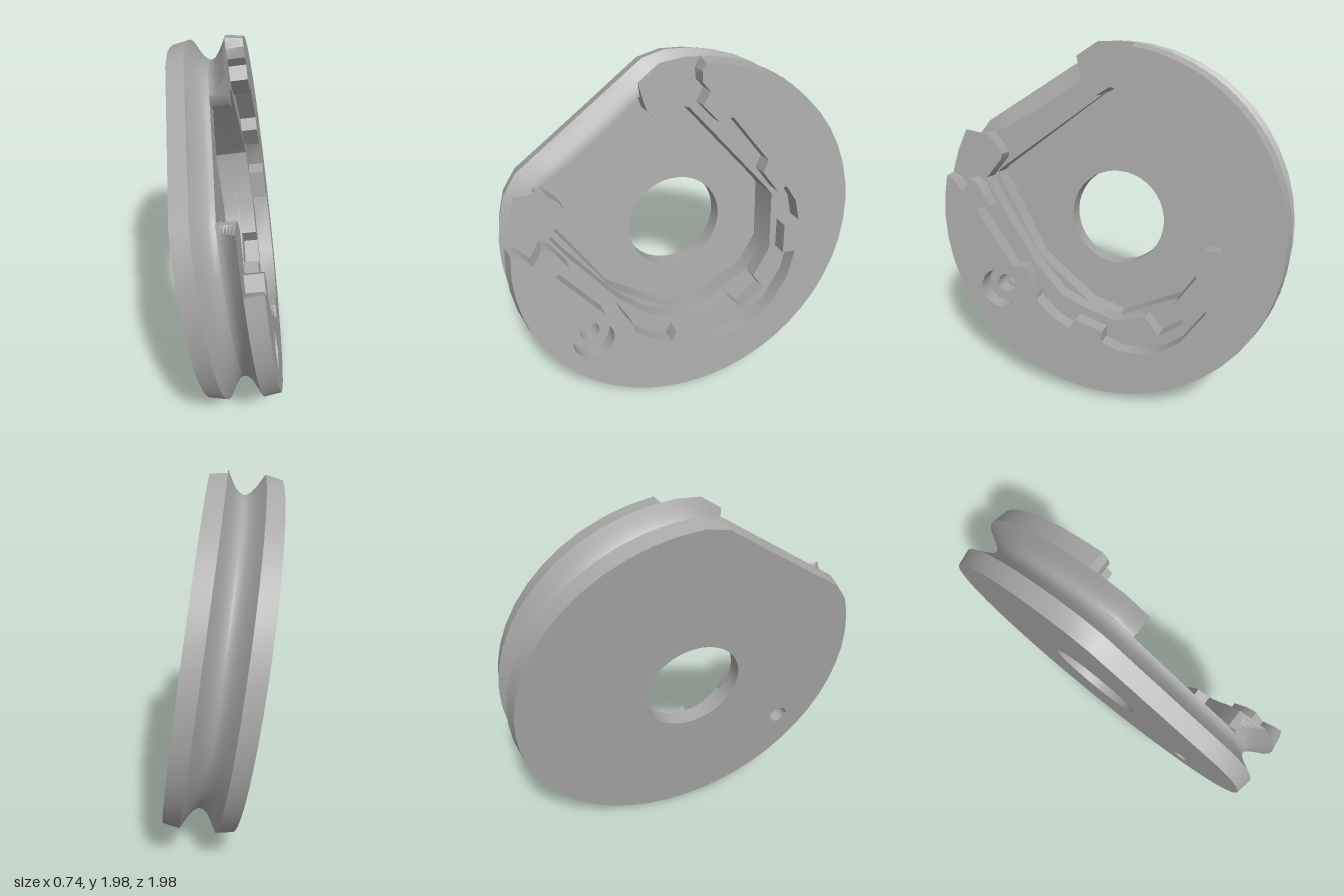
import * as THREE from 'three';
import { toCreasedNormals } from 'three/addons/utils/BufferGeometryUtils.js';

// Local frame: disc in the XY plane, thickness t along Z (0 = back face).
const R = 0.985, FLAT = 0.865, FLAT_ANGLE = 124, DEPTH = 0.37;
const T = { plate: 0.09, ridge: 0.19, ledge: 0.28 };
const rad = THREE.MathUtils.degToRad;

// Circle with one straight side
function rimRadius(deg) {
  const c = Math.cos(rad(deg - FLAT_ANGLE));
  return c > 0 ? Math.min(R, FLAT / c) : R;
}

function rimPoints(from, to) {
  const n = Math.round((to - from) / 7.5), pts = [];
  for (let i = 0; i <= n; i++) {
    const deg = from + (to - from) * i / n, r = rimRadius(deg);
    pts.push(new THREE.Vector2(r * Math.cos(rad(deg)), r * Math.sin(rad(deg))));
  }
  return pts;
}

const toPoints = (list) => list.map(([x, y]) => new THREE.Vector2(x, y));

function circleHole(x, y, r) {
  return new THREE.Path().absarc(x, y, r, 0, Math.PI * 2, true);
}

// Closed disc layer
function fullShape() {
  const pts = rimPoints(-180, 180);
  pts.pop();
  return new THREE.Shape(pts);
}

// Open ring: inner edge runs clockwise, rim returns counter-clockwise
function openShape(inner, startDeg, endDeg) {
  return new THREE.Shape([...toPoints(inner), ...rimPoints(endDeg - 360, startDeg)]);
}

// Extrude a layer and draw its rim inward by inset(t)
function layer(name, shape, t0, t1, steps, inset, material) {
  const geo = new THREE.ExtrudeGeometry(shape, {
    depth: t1 - t0, steps, bevelEnabled: false, curveSegments: 20,
  });
  const pos = geo.attributes.position;
  for (let i = 0; i < pos.count; i++) {
    const x = pos.getX(i), y = pos.getY(i), t = pos.getZ(i) + t0;
    const r = Math.hypot(x, y);
    const rim = rimRadius(THREE.MathUtils.radToDeg(Math.atan2(y, x)));
    const k = r > rim - 0.004 ? (r - inset(t)) / r : 1;
    pos.setXYZ(i, x * k, y * k, t - DEPTH / 2);
  }
  const mesh = new THREE.Mesh(toCreasedNormals(geo, 0.6), material);
  mesh.name = name;
  return mesh;
}

// Pocket edge at the floor
const floorEdge = [
  [-0.02, 0.75], [0.04, 0.735], [0.49, 0.19], [0.525, 0.14], [0.52, -0.22],
  [0.415, -0.385], [0.08, -0.555], [-0.11, -0.51], [-0.435, -0.275],
  [-0.72, 0.2], [-0.7, 0.225], [-0.11, 0.7],
];

// Pocket edge at the ledge, open along the straight side
const ledgeEdge = [
  [-0.195, 0.8], [-0.18, 0.75], [-0.15, 0.715], [-0.1, 0.7], [-0.025, 0.75], [0.04, 0.735],
  [0.49, 0.19], [0.525, 0.14], [0.52, -0.22], [0.415, -0.385], [0.48, -0.49],
  [0.34, -0.595], [0.255, -0.5], [0.08, -0.555], [-0.11, -0.51], [-0.26, -0.45],
  [-0.435, -0.275], [-0.67, 0.055], [-0.745, 0.18], [-0.655, 0.3],
  [-0.65, 0.33], [-0.675, 0.37], [-0.735, 0.43], [-0.77, 0.435],
];

// Pocket edge at the front, with its notches
const frontEdge = [
  [0.08, 0.93], [0.08, 0.875], [0.12, 0.825], [0.08, 0.76], [0.17, 0.655], [0.24, 0.675],
  [0.45, 0.395], [0.42, 0.33], [0.515, 0.195], [0.565, 0.22], [0.63, 0.115],
  [0.655, -0.015], [0.565, -0.03], [0.56, -0.21], [0.64, -0.22], [0.6, -0.38],
  [0.48, -0.565], [0.39, -0.635], [0.29, -0.68], [0.13, -0.69], [0.035, -0.66],
  [0.035, -0.595], [-0.13, -0.555], [-0.165, -0.615], [-0.27, -0.565],
  [-0.375, -0.475], [-0.38, -0.43], [-0.45, -0.29], [-0.53, -0.3],
  [-0.76, 0.01], [-0.68, 0.04], [-0.75, 0.155], [-0.8, 0.185],
  [-0.855, 0.1], [-0.91, 0.17],
];

export function createModel() {
  const grey = new THREE.MeshStandardMaterial({ color: 0xa8a8a8 });
  grey.name = 'grey';

  const model = new THREE.Group();
  model.name = 'groovedPulley';
  const disc = new THREE.Group();
  disc.name = 'disc';
  model.add(disc);

  const groove = (t) =>
    0.115 * Math.sin(Math.PI * (t - T.plate) / (T.ledge - T.plate));
  const pin = [-0.61, -0.45];

  // Back flange with bore and pin hole
  const plate = fullShape();
  plate.holes.push(circleHole(0, 0, 0.275), circleHole(...pin, 0.055));
  disc.add(layer('backFlange', plate, 0, T.plate, 1,
    (t) => (t < 0.01 ? 0.015 : 0), grey));

  // Lower half of the rope groove, around the pocket
  const lower = fullShape();
  lower.holes.push(new THREE.Path(toPoints(floorEdge)), circleHole(...pin, 0.055));
  disc.add(layer('grooveLowerHalf', lower, T.plate, T.ridge, 6, groove, grey));

  // Upper half of the groove, open at the straight side
  const upper = openShape(ledgeEdge, 103.6, 153);
  upper.holes.push(circleHole(...pin, 0.055));
  disc.add(layer('grooveUpperHalf', upper, T.ridge, T.ledge, 6, groove, grey));

  // Front flange with notched edge and counterbore
  const front = openShape(frontEdge, 83.8, 169);
  front.holes.push(circleHole(...pin, 0.115));
  disc.add(layer('frontFlange', front, T.ledge, DEPTH, 1,
    (t) => (t > DEPTH - 0.01 ? 0.015 : 0), grey));

  // Tilt the axis slightly up and back from +x
  const axis = new THREE.Vector3(1, 0.14, -0.14).normalize();
  const turn = new THREE.Quaternion().setFromAxisAngle(new THREE.Vector3(0, 1, 0), Math.PI / 2);
  disc.quaternion.setFromUnitVectors(new THREE.Vector3(1, 0, 0), axis).multiply(turn);
  disc.position.y = 1;
  return model;
}
